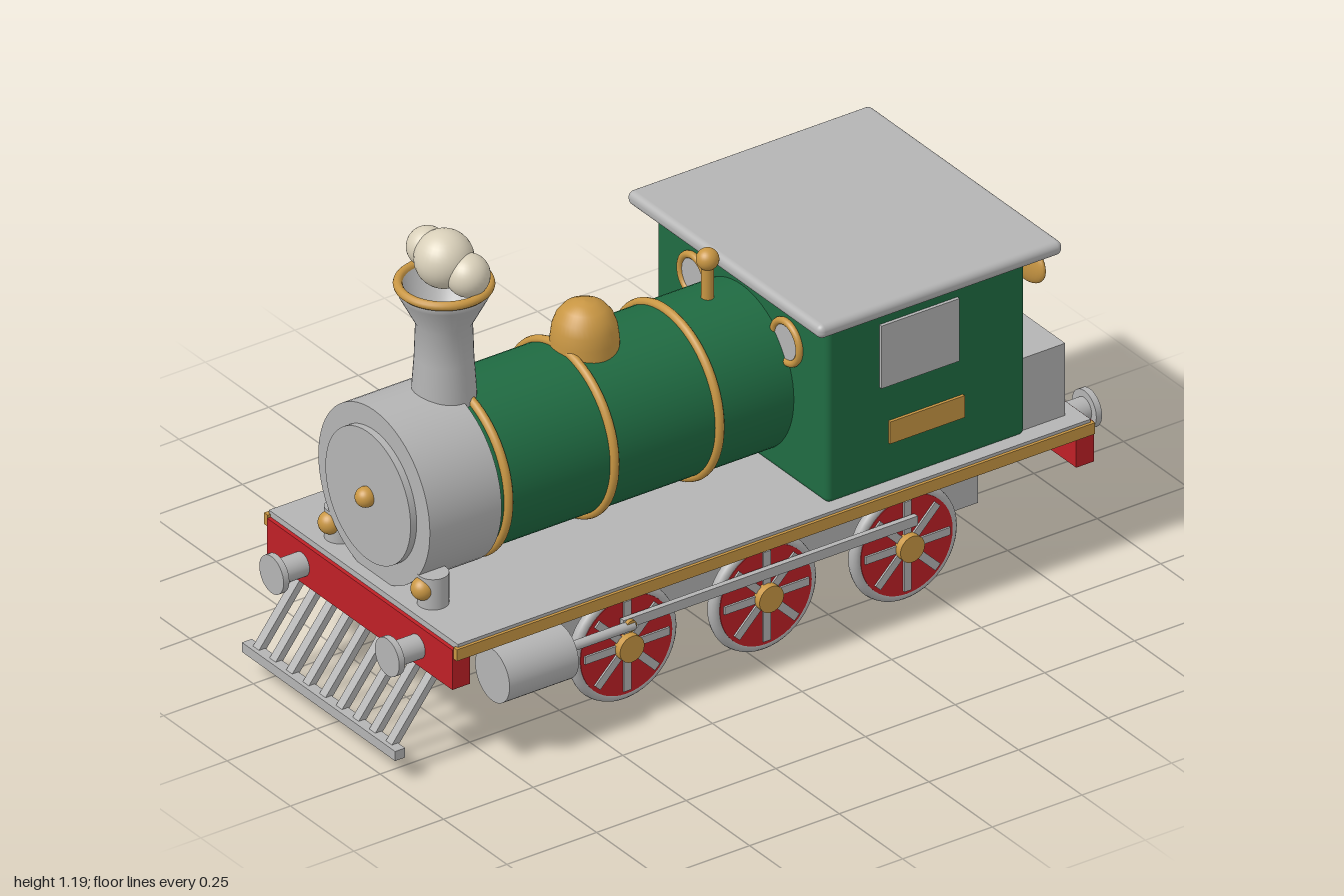
import * as THREE from 'three';
import { RoundedBoxGeometry } from 'three/addons/geometries/RoundedBoxGeometry.js';

const mat = (name, color) => Object.assign(new THREE.MeshStandardMaterial({ color }), { name });

export function createModel() {
  const grey = mat('steel grey', 0xb4b4b4);
  const green = mat('dark green', 0x1f6b42);
  const gold = mat('brass', 0xc89643);
  const red = mat('red', 0xbf2026);
  const cream = mat('smoke cream', 0xd9d0ba);
  const greyOpen = mat('open steel grey', 0xb4b4b4);
  greyOpen.side = THREE.DoubleSide;

  const model = new THREE.Group();
  model.name = 'steamLocomotive';

  // Helpers
  const add = (name, geo, material, x = 0, y = 0, z = 0, parent = model) => {
    const m = new THREE.Mesh(geo, material);
    m.name = name;
    m.position.set(x, y, z);
    parent.add(m);
    return m;
  };
  const box = (w, h, d) => new THREE.BoxGeometry(w, h, d);
  const cylY = (r, h, n = 32) => new THREE.CylinderGeometry(r, r, h, n);
  const cylZ = (r, h, n = 48) => cylY(r, h, n).rotateX(Math.PI / 2);
  const cylX = (r, h, n = 32) => cylY(r, h, n).rotateZ(Math.PI / 2);
  const ball = (r) => new THREE.SphereGeometry(r, 28, 20);
  const lathe = (pts, n = 40) => new THREE.LatheGeometry(pts.map(p => new THREE.Vector2(...p)), n);
  const bothSides = (fn) => [-1, 1].forEach(fn);

  // Footplate, edging and buffer beams
  add('footplate', box(0.745, 0.035, 1.765), grey, 0, 0.3425, -0.0125);
  bothSides(s => add('footplateEdge', box(0.014, 0.03, 1.78), gold, s * 0.373, 0.337, -0.012));
  add('frontBeam', box(0.73, 0.105, 0.05), red, 0, 0.2925, 0.855);
  add('rearBeam', box(0.73, 0.105, 0.05), red, 0, 0.2925, -0.885);
  [[0.88, 1], [-0.91, -1]].forEach(([z, d]) => bothSides(s => {
    add('bufferShank', cylZ(0.03, 0.075, 24), grey, s * 0.228, 0.29, z + d * 0.035);
    add('bufferHead', cylZ(0.048, 0.016, 32), grey, s * 0.228, 0.29, z + d * 0.077);
  }));

  // Boiler, bands and smokebox
  const axisY = 0.57;
  add('boiler', cylZ(0.206, 0.85, 64), green, 0, axisY, 0.225);
  [0.613, 0.317, 0.024].forEach(z =>
    add('boilerBand', new THREE.TorusGeometry(0.209, 0.011, 12, 64), gold, 0, axisY, z));
  add('smokebox', cylZ(0.22, 0.2, 64), grey, 0, axisY, 0.74);
  add('smokeboxDoor', cylZ(0.168, 0.02, 64), grey, 0, axisY, 0.847);
  add('doorKnob', ball(0.025), gold, 0, axisY, 0.864);

  // Chimney with flared open top
  add('chimney', lathe([[0.076, 0.74], [0.074, 0.8], [0.069, 0.87], [0.066, 0.96], [0.105, 1.035],
    [0.107, 1.06], [0.094, 1.06], [0.06, 0.98], [0, 0.98]]), greyOpen, 0, 0, 0.645);
  add('chimneyRim', new THREE.TorusGeometry(0.106, 0.011, 12, 48).rotateX(Math.PI / 2), gold, 0, 1.06, 0.645);
  [[0, 1.125, 0.645, 0.07], [-0.056, 1.132, 0.652, 0.049], [0.062, 1.103, 0.622, 0.052]]
    .forEach(([x, y, z, r]) => add('smokePuff', ball(r), cream, x, y, z));

  // Steam dome and whistle
  add('steamDome', lathe([[0, 0.882], [0.025, 0.879], [0.05, 0.866], [0.067, 0.845], [0.076, 0.82],
    [0.08, 0.79], [0.081, 0.74]].reverse()), gold, 0, 0, 0.253);
  add('whistleStem', cylY(0.015, 0.12, 20), gold, 0, 0.81, -0.09);
  add('whistleBall', ball(0.027), gold, 0, 0.876, -0.09);

  // Head lamps on the footplate
  bothSides(s => {
    add('lampBody', cylY(0.037, 0.085), grey, s * 0.183, 0.3975, 0.805);
    add('lampLens', ball(0.028), gold, s * 0.183, 0.406, 0.834);
  });

  // Cab with roof, windows and plates
  add('cab', new RoundedBoxGeometry(0.676, 0.462, 0.552, 3, 0.014), green, 0, 0.587, -0.461);
  add('cabRoof', new RoundedBoxGeometry(0.766, 0.036, 0.68, 4, 0.016), grey, 0, 0.843, -0.473);
  bothSides(s => {
    add('sideWindow', box(0.009, 0.165, 0.217), grey, s * 0.342, 0.7, -0.439);
    add('sidePlate', box(0.008, 0.058, 0.208), gold, s * 0.3415, 0.492, -0.459);
    add('frontWindow', cylZ(0.052, 0.008), grey, s * 0.183, 0.714, -0.182);
    add('frontWindowRim', new THREE.TorusGeometry(0.052, 0.009, 10, 40), gold, s * 0.183, 0.714, -0.18);
  });

  // Rear bunker with coal
  add('bunker', box(0.65, 0.195, 0.125), grey, 0, 0.4525, -0.795);
  [[-0.12, -0.8, 0.045], [-0.02, -0.81, 0.045], [0.08, -0.83, 0.048], [0.17, -0.79, 0.042]]
    .forEach(([x, z, r]) => add('coalLump', ball(r).scale(1, 0.7, 1), grey, x, 0.553, z));

  // Wind-up key
  add('keyStem', cylZ(0.014, 0.2, 20), gold, 0, 0.63, -0.83);
  bothSides(s => add('keyWing', ball(1).scale(0.076, 0.052, 0.018), gold, s * 0.075, 0.63, -0.924));

  // Frames, wheels and running gear
  bothSides(s => {
    add('framePlate', box(0.02, 0.137, 1.29), grey, s * 0.215, 0.2085, -0.04);
    [0.352, -0.037, -0.43].forEach(z => {
      const wheel = new THREE.Group();
      wheel.name = 'wheel';
      wheel.position.set(s * 0.288, 0.152, z);
      model.add(wheel);
      add('tyre', new THREE.TorusGeometry(0.132, 0.016, 12, 48).rotateY(Math.PI / 2), grey, 0, 0, 0, wheel);
      add('wheelDisc', cylX(0.128, 0.03, 48), red, s * 0.002, 0, 0, wheel);
      for (let i = 0; i < 4; i++) {
        const spoke = add('spokePair', box(0.012, 0.236, 0.02), grey, s * 0.016, 0, 0, wheel);
        spoke.rotation.x = i * Math.PI / 4;
      }
      add('hub', cylX(0.034, 0.03), gold, s * 0.025, 0, 0, wheel);
      add('axleStub', cylX(0.02, 0.09, 20), grey, s * -0.03, 0, 0, wheel);
    });
    add('cylinder', cylX(0.068, 0.193, 40).rotateY(Math.PI / 2), grey, s * 0.33, 0.217, 0.647);
    add('pistonRod', cylZ(0.012, 0.22, 16), grey, s * 0.33, 0.217, 0.46);
    add('couplingRod', box(0.014, 0.025, 0.82), grey, s * 0.32, 0.222, -0.035);
    add('crankPin', cylX(0.015, 0.024, 20), gold, s * 0.325, 0.219, 0.36);
  });

  // Sloping front guard
  const top = new THREE.Vector2(0.85, 0.245), foot = new THREE.Vector2(0.98, 0.077);
  const slope = foot.clone().sub(top);
  for (let i = -4; i <= 4; i++) {
    const bar = add('guardBar', box(0.024, slope.length(), 0.018), grey, i * 0.0655,
      (top.y + foot.y) / 2, (top.x + foot.x) / 2);
    bar.rotation.x = -Math.atan2(slope.x, -slope.y);
  }
  add('guardFoot', box(0.604, 0.025, 0.028), grey, 0, 0.074, 0.981);

  return model;
}
